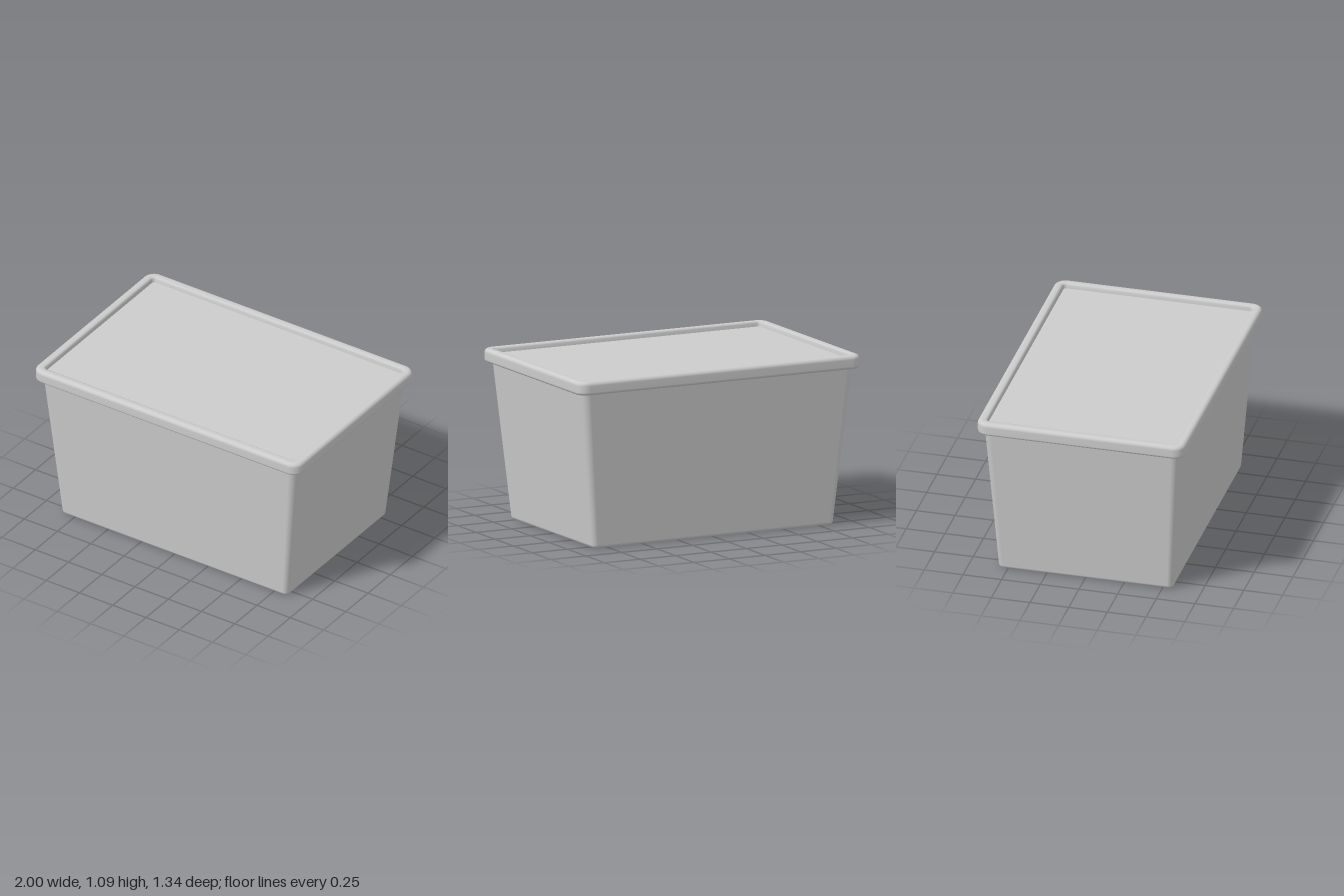
import * as THREE from 'three';

const CORNER_STEPS = 8;

// One rounded-rectangle outline at height y, counter-clockwise seen from above
function outline([hx, hz, r, y]) {
  const points = [];
  const centres = [[1, 1], [-1, 1], [-1, -1], [1, -1]];
  centres.forEach(([sx, sz], quarter) => {
    for (let i = 0; i <= CORNER_STEPS; i++) {
      const a = (quarter + i / CORNER_STEPS) * Math.PI / 2;
      points.push(sx * (hx - r) + r * Math.cos(a), y, -sz * (hz - r) - r * Math.sin(a));
    }
  });
  return points;
}

// Skin a list of outlines; listing an outline twice leaves a sharp edge there
function loft(name, rings, material) {
  const n = 4 * (CORNER_STEPS + 1);
  const index = [];
  for (let k = 0; k < rings.length - 1; k++) {
    for (let i = 0; i < n; i++) {
      const j = (i + 1) % n;
      const a = k * n + i, b = k * n + j;
      index.push(a, b, b + n, a, b + n, a + n);
    }
  }
  const geometry = new THREE.BufferGeometry();
  geometry.setAttribute('position', new THREE.Float32BufferAttribute(rings.flatMap(outline), 3));
  geometry.setIndex(index);
  geometry.computeVertexNormals();
  const mesh = new THREE.Mesh(geometry, material);
  mesh.name = name;
  return mesh;
}

// Rounded edge: outlines inset from (hx, hz, r) along an arc of the given radius
function roundedEdge(hx, hz, r, y, radius, from, to, steps = 6) {
  return Array.from({ length: steps + 1 }, (_, i) => {
    const a = THREE.MathUtils.degToRad(from + (to - from) * i / steps);
    const inset = radius * (1 - Math.cos(a));
    return [hx - inset, hz - inset, r - inset, y + radius * Math.sin(a)];
  });
}

export function createModel() {
  const group = new THREE.Group();
  group.name = 'storageBox';
  const material = new THREE.MeshStandardMaterial({ color: 0xcccccc, side: THREE.DoubleSide });

  // Tapered tub with a softly rounded base, its top tucked into the lid
  group.add(loft('tub', [
    [0, 0, 0, 0],
    ...roundedEdge(0.852, 0.565, 0.035, 0.02, 0.02, -90, 0),
    [0.955, 0.632, 0.05, 1.01],
  ], material));

  // Lid: underside, outer lip, rounded rim and recessed panel
  const floorY = 1.052;
  group.add(loft('lid', [
    [0, 0, 0, 1],
    ...roundedEdge(1, 0.672, 0.075, 1.018, 0.018, -90, 0),
    ...roundedEdge(1, 0.672, 0.075, 1.06, 0.025, 0, 90),
    // inner side of the rim, curving down into the recess
    [0.955, 0.627, 0.032, 1.085],
    [0.946, 0.618, 0.024, 1.081],
    [0.941, 0.613, 0.02, 1.073],
    [0.938, 0.61, 0.018, floorY],
    [0.938, 0.61, 0.018, floorY],
    [0, 0, 0, floorY],
  ], material));

  return group;
}
